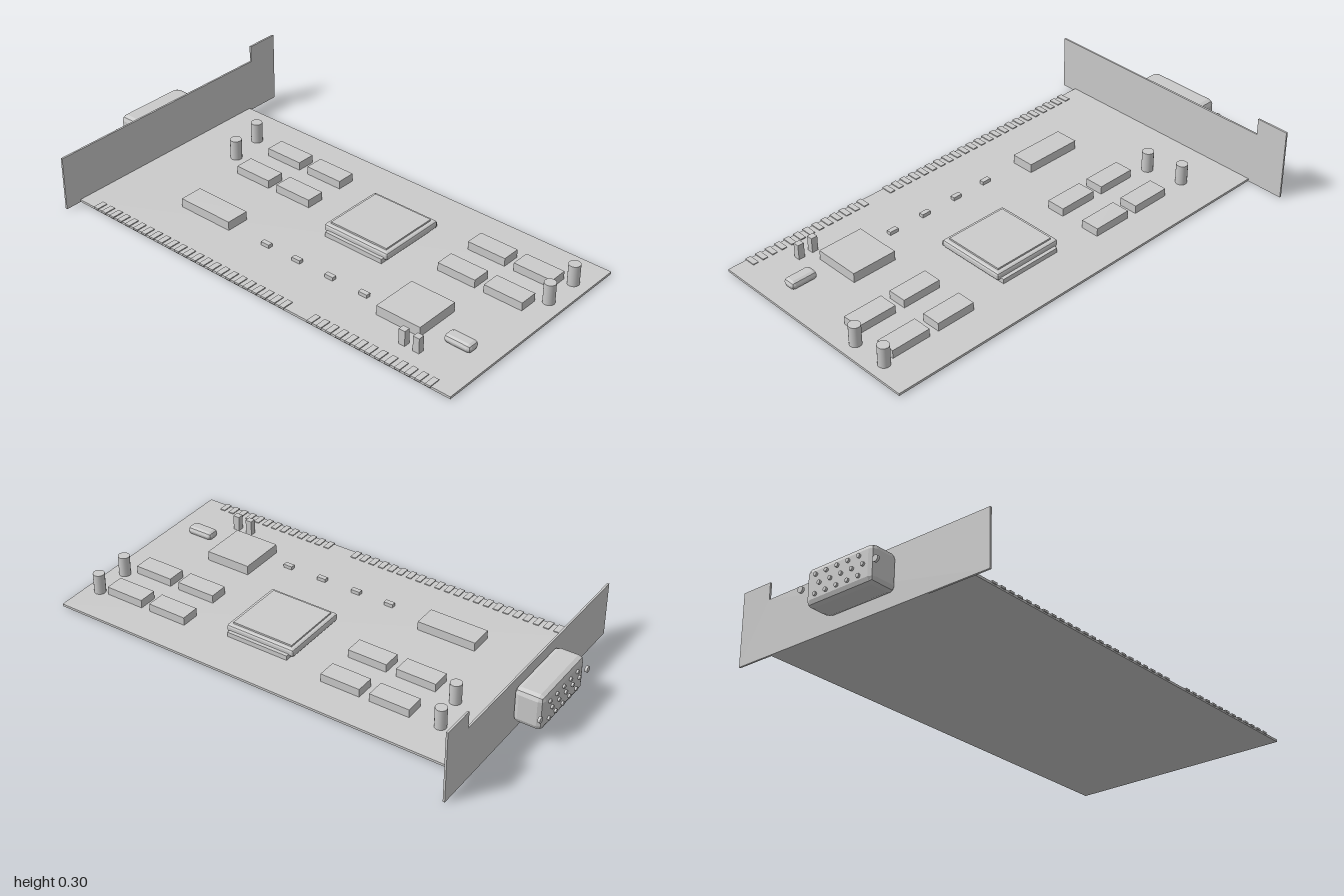
import * as THREE from 'three';
import { RoundedBoxGeometry } from 'three/addons/geometries/RoundedBoxGeometry.js';

const flat = new THREE.MeshStandardMaterial({ color: 0xcccccc, flatShading: true });
const smooth = new THREE.MeshStandardMaterial({ color: 0xcccccc });

const BOARD_TOP = 0.015;

export function createModel() {
  const model = new THREE.Group();

  const add = (name, geometry, x, y, z, material = flat) => {
    const mesh = new THREE.Mesh(geometry, material);
    mesh.name = name;
    mesh.position.set(x, y, z);
    model.add(mesh);
    return mesh;
  };
  // Box given by its extents, optionally with chamfered edges
  const block = (name, [x0, x1], [y0, y1], [z0, z1], chamfer = 0) => {
    const size = [x1 - x0, y1 - y0, z1 - z0];
    const geometry = chamfer
      ? new RoundedBoxGeometry(...size, 1, chamfer)
      : new THREE.BoxGeometry(...size);
    return add(name, geometry, (x0 + x1) / 2, (y0 + y1) / 2, (z0 + z1) / 2);
  };

  // Circuit board
  block('circuitBoard', [-0.865, 0.99], [0.005, BOARD_TOP], [-0.44, 0.53]);

  // Mounting bracket with raised tab at the back end
  const outline = new THREE.Shape([
    [-0.6, 0.003], [0.6, 0.003], [0.6, 0.306], [0.46, 0.306], [0.46, 0.235], [-0.6, 0.235],
  ].map(([u, v]) => new THREE.Vector2(u, v)));
  const bracket = new THREE.ExtrudeGeometry(outline, { depth: 0.008, bevelEnabled: false });
  bracket.rotateY(Math.PI / 2);
  add('bracket', bracket, -0.874, 0, 0);

  // Video connector: shell, pin rows and two side screws
  block('connectorShell', [-0.992, -0.872], [0.052, 0.202], [-0.14, 0.182], 0.022);
  const disc = (name, r, y, z) => {
    const geometry = new THREE.CylinderGeometry(r, r, 0.01, 12);
    geometry.rotateZ(Math.PI / 2);
    add(name, geometry, -0.995, y, z, smooth);
  };
  for (let row = 0; row < 3; row++) {
    for (let i = 0; i < 5; i++) {
      disc('connectorPin', 0.008, 0.165 - row * 0.038, -0.09 + i * 0.052 + (row % 2) * 0.02);
    }
  }
  for (const z of [-0.16, 0.2]) disc('connectorScrew', 0.013, 0.127, z);

  // Main processor: thin carrier under a chamfered package with a raised lid
  block('processorCarrier', [0.035, 0.315], [BOARD_TOP, 0.035], [-0.25, 0.085]);
  block('processorPackage', [0.015, 0.33], [0.024, 0.057], [-0.235, 0.07], 0.01);
  block('processorLid', [0.035, 0.31], [0.05, 0.064], [-0.215, 0.05]);

  // Memory chips in two groups of four
  for (const x of [-0.448, -0.232, 0.585, 0.798]) {
    for (const z of [-0.246, -0.062]) {
      block('memoryChip', [x - 0.086, x + 0.086], [BOARD_TOP, 0.05], [z - 0.04, z + 0.04]);
    }
  }

  // Other chips and the crystal
  block('biosChip', [-0.525, -0.27], [BOARD_TOP, 0.053], [0.2, 0.3]);
  block('controllerChip', [0.505, 0.705], [BOARD_TOP, 0.056], [0.14, 0.34]);
  block('crystal', [0.783, 0.902], [BOARD_TOP, 0.05], [0.252, 0.31], 0.015);

  // Small surface parts and jumper posts
  for (const x of [-0.09, 0.067, 0.232, 0.397]) {
    block('resistor', [x - 0.02, x + 0.02], [BOARD_TOP, 0.03], [0.269, 0.289]);
  }
  for (const x of [0.686, 0.75]) {
    block('jumperPost', [x - 0.014, x + 0.014], [BOARD_TOP, 0.08], [0.392, 0.418]);
  }

  // Capacitors
  for (const [x, z] of [[-0.655, -0.265], [-0.625, -0.11], [0.925, -0.287], [0.925, -0.132]]) {
    add('capacitor', new THREE.CylinderGeometry(0.024, 0.024, 0.087, 16), x, 0.0585, z, smooth);
  }

  // Edge contacts in two runs with a key gap between them
  for (let i = 0; i < 38; i++) {
    const x = -0.77 + i * 0.045;
    if (x > 0.22 && x < 0.32) continue;
    block('edgeContact', [x - 0.012, x + 0.012], [BOARD_TOP - 0.004, 0.019], [0.485, 0.534]);
  }

  return model;
}
